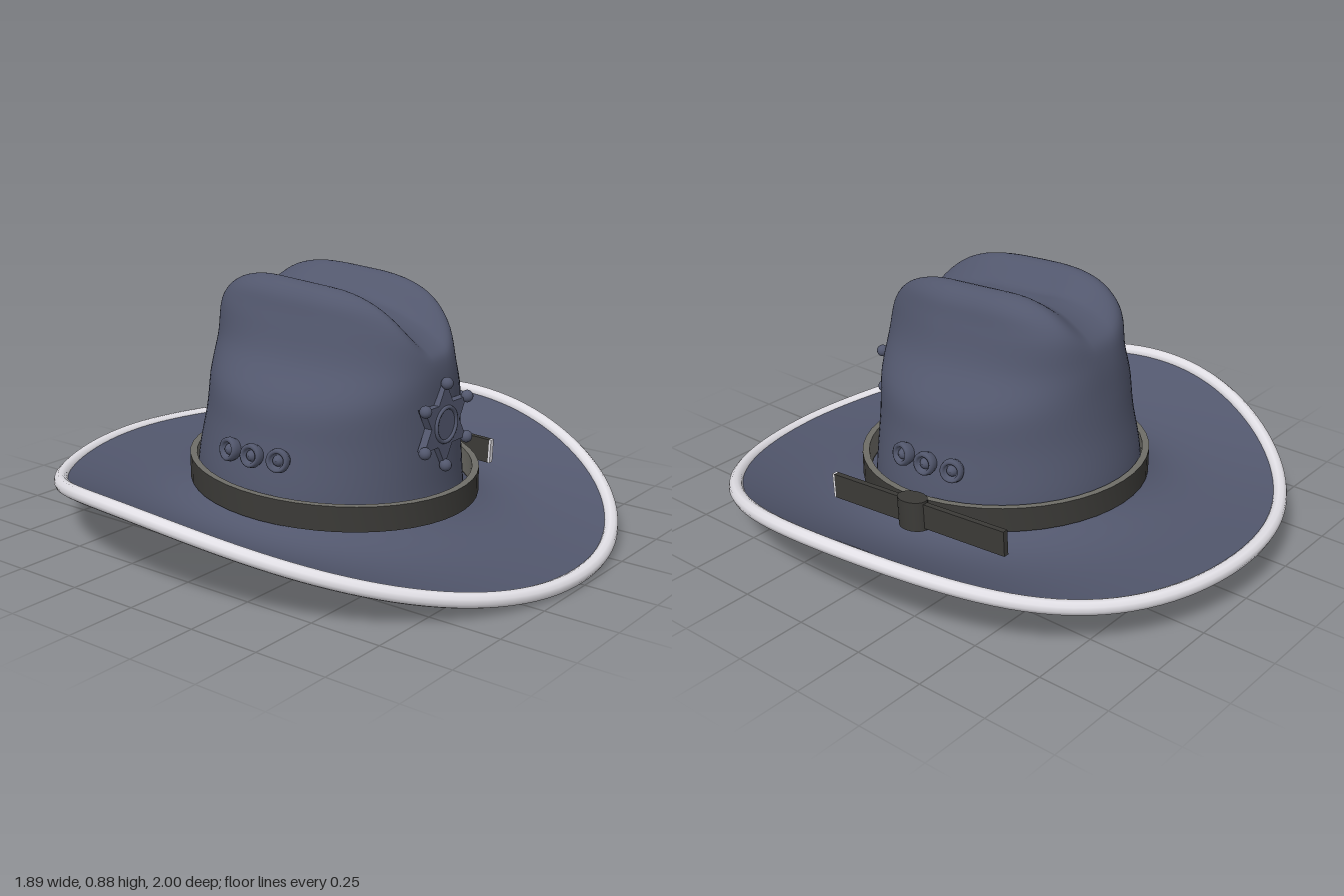
import * as THREE from 'three';
import { toCreasedNormals } from 'three/addons/utils/BufferGeometryUtils.js';

const { smoothstep, lerp } = THREE.MathUtils;
const SEG = 96, BRIM = 16, CROWN = 48;

// crown cross-sections: half width, front depth, back depth, height, squareness
const LEVELS = [
  [0.46, 0.45, 0.49, 0.142, 2], [0.45, 0.445, 0.48, 0.24, 2], [0.42, 0.445, 0.455, 0.38, 2],
  [0.39, 0.445, 0.44, 0.5, 2.1], [0.295, 0.445, 0.425, 0.625, 2.5], [0.25, 0.415, 0.395, 0.75, 3.2],
  [0.225, 0.34, 0.32, 0.825, 3.4], [0.18, 0.23, 0.22, 0.862, 3.2], [0.1, 0.12, 0.13, 0.864, 2.6],
  [0, 0, 0, 0.864, 2.5],
];
const sizeCurve = new THREE.CatmullRomCurve3(
  LEVELS.map(l => new THREE.Vector3(l[0], l[1], l[2])), false, 'catmullrom');
const heightCurve = new THREE.CatmullRomCurve3(
  LEVELS.map(l => new THREE.Vector3(0, l[3], l[4])), false, 'catmullrom');

const power = (v, n) => Math.sign(v) * Math.abs(v) ** (2 / n);

// brim: w = 1 at the rim, 0 at the crown; the sides curl upward
function brimPoint(w, a, inside = false) {
  const c = Math.cos(a), s = Math.sin(a), scale = inside ? 1.14 : 1;
  const x = lerp(0.46 * scale, 0.92, w) * c;
  const z = lerp((s > 0 ? 0.45 : 0.49) * scale, 0.975, w) * s;
  const curl = 0.175 * Math.abs(c) ** (3.15 - 0.85 * s) * w ** 1.7;
  const fillet = inside ? 0 : 0.07 * (1 - w) ** 5;
  return new THREE.Vector3(x, lerp(0.072, 0.085, w) - 0.06 * z + curl + fillet, z);
}

// crown: t = 0 at the brim, 1 at the middle of the top
function crownPoint(t, a, inside = false) {
  const size = sizeCurve.getPoint(t), { y: h, z: n } = heightCurve.getPoint(t);
  const c = Math.cos(a), s = Math.sin(a), scale = inside ? 0.96 : 1;
  const z = (s > 0 ? size.y : size.z) * power(s, n);
  // the front is pinched, and a channel runs along the top
  const pinch = 0.17 * smoothstep(h, 0.5, 0.75) * smoothstep(z, 0.05, 0.42);
  const x = size.x * power(c, n) * (1 - pinch);
  const channel = (1 - smoothstep(Math.abs(x), 0.03, 0.165)) * smoothstep(h, 0.62, 0.83);
  const y = h - 0.06 * z - channel * (0.068 + 0.03 * smoothstep(z, 0.05, 0.3));
  return new THREE.Vector3(x * scale, y, z * scale);
}

// one skin of the felt, from rim to top; the lining faces the other way
function feltSkin(inside) {
  const pos = [], index = [], shift = inside ? -0.012 : 0.012;
  const rows = BRIM + CROWN;
  for (let i = 0; i <= rows; i++) {
    for (let j = 0; j < SEG; j++) {
      const a = j / SEG * Math.PI * 2;
      const p = i < BRIM ? brimPoint(1 - i / BRIM, a, inside)
        : crownPoint((i - BRIM) / CROWN, a, inside);
      pos.push(p.x, p.y + shift, p.z);
      if (i === rows) continue;
      const k = (j + 1) % SEG;
      const q = [i * SEG + j, (i + 1) * SEG + j, i * SEG + k, (i + 1) * SEG + k];
      if (inside) index.push(q[0], q[2], q[1], q[2], q[3], q[1]);
      else index.push(q[0], q[1], q[2], q[2], q[1], q[3]);
    }
  }
  const g = new THREE.BufferGeometry();
  g.setAttribute('position', new THREE.Float32BufferAttribute(pos, 3));
  g.setIndex(index);
  g.computeVertexNormals();
  return g;
}

// oval ring round the crown, sloping up to the back
function bandRing(profile) {
  const g = new THREE.LatheGeometry(profile.map(p => new THREE.Vector2(...p)), 48);
  g.scale(1, 1, 1.045);
  const p = g.attributes.position;
  for (let i = 0; i < p.count; i++) p.setY(i, p.getY(i) + 0.193 - 0.05 * p.getZ(i));
  g.computeVertexNormals();
  return toCreasedNormals(g, 0.6);
}

export function createModel() {
  const hat = new THREE.Group();
  hat.name = 'hat';
  const material = (name, color, side = THREE.FrontSide) => {
    const m = new THREE.MeshStandardMaterial({ color, side });
    m.name = name;
    return m;
  };
  const felt = material('slate blue felt', 0x52576d);
  const trim = material('pale trim', 0xe2e0e6);
  const leather = material('dark leather', 0x3b3a37, THREE.DoubleSide);
  const edge = material('leather edge', 0x6e6d67, THREE.DoubleSide);
  const add = (name, geometry, mat, parent = hat) => {
    const m = new THREE.Mesh(geometry, mat);
    m.name = name;
    parent.add(m);
    return m;
  };

  // felt body and rim piping
  add('crownAndBrim', feltSkin(false), felt);
  add('lining', feltSkin(true), felt);
  const rim = [];
  for (let j = 0; j < 64; j++) rim.push(brimPoint(1, j / 64 * Math.PI * 2));
  add('rimPiping', new THREE.TubeGeometry(new THREE.CatmullRomCurve3(rim, true), 128, 0.025, 10, true), trim);

  // hat band
  add('band', bandRing([[0.464, -0.043], [0.49, -0.043], [0.49, 0.043]]), leather);
  add('bandEdge', bandRing([[0.49, 0.043], [0.467, 0.043], [0.467, -0.043]]), edge);

  // loose strap and its keeper on the left side
  const strap = new THREE.Group();
  strap.name = 'strap';
  strap.position.set(0.51, 0.195, -0.05);
  strap.rotation.set(0.05, 0.03, 0);
  hat.add(strap);
  add('strapTail', new THREE.BoxGeometry(0.02, 0.088, 0.73), leather, strap);
  add('strapTip', new THREE.BoxGeometry(0.02, 0.088, 0.008), trim, strap).position.z = 0.369;
  const keeper = add('keeper', new THREE.CylinderGeometry(0.057, 0.057, 0.105, 20), leather, strap);
  keeper.scale.x = 0.7;
  keeper.position.z = 0.02;

  // six-pointed badge
  const badge = new THREE.Group();
  badge.name = 'badge';
  badge.position.set(0, 0.43, 0.437);
  hat.add(badge);
  const outline = [];
  for (let i = 0; i < 12; i++) {
    const r = i % 2 ? 0.081 : 0.14, a = Math.PI / 2 + i * Math.PI / 6;
    outline.push(new THREE.Vector2(r * Math.cos(a), r * Math.sin(a)));
    if (i % 2) continue;
    add('badgeBall', new THREE.SphereGeometry(0.021, 14, 10), felt, badge)
      .position.set(outline[i].x, outline[i].y, 0.03);
  }
  add('badgeStar', new THREE.ExtrudeGeometry(new THREE.Shape(outline),
    { depth: 0.028, bevelEnabled: false }), felt, badge);
  add('badgeRing', new THREE.TorusGeometry(0.058, 0.007, 8, 32), felt, badge).position.z = 0.03;

  // three round studs on each side
  const studProfile = [[0.034, -0.012], [0.041, 0.008], [0.038, 0.024], [0.031, 0.028], [0.024, 0.022],
    [0.021, 0.004], [0.017, 0.016], [0.009, 0.024], [0, 0.026]].map(p => new THREE.Vector2(...p));
  const stud = new THREE.LatheGeometry(studProfile, 24);
  for (const side of [1, -1]) {
    for (const step of [-1, 0, 1]) {
      const z = (side > 0 ? -0.03 : 0.01) + step * 0.1;
      const m = add(side > 0 ? 'leftStud' : 'rightStud', stud, felt);
      m.position.set(side * 0.44 * Math.sqrt(1 - (z / 0.46) ** 2), 0.345, z);
      const out = new THREE.Vector3(m.position.x, 0.07, z).normalize();
      m.quaternion.setFromUnitVectors(new THREE.Vector3(0, 1, 0), out);
    }
  }
  return hat;
}
